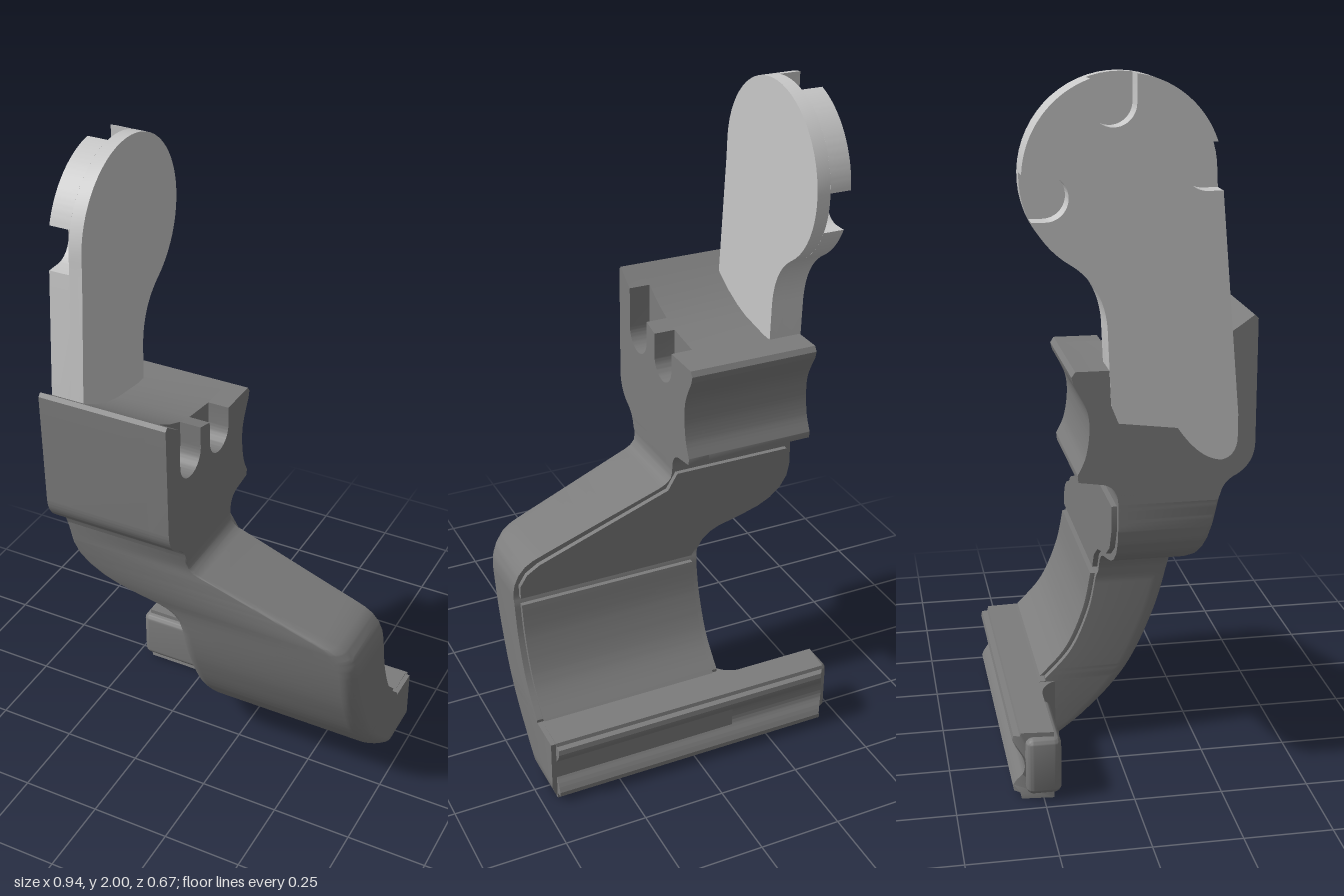
import * as THREE from 'three';
import { toCreasedNormals } from 'three/addons/utils/BufferGeometryUtils.js';
import { RoundedBoxGeometry } from 'three/addons/geometries/RoundedBoxGeometry.js';

const bodyMat = new THREE.MeshStandardMaterial({ color: 0x7c7c7c });
bodyMat.name = 'dark grey';
const bladeMat = new THREE.MeshStandardMaterial({ color: 0xc8c8c8 });
bladeMat.name = 'light grey';

const PI = Math.PI;
const V = (a) => a.map((p) => new THREE.Vector2(p[0], p[1]));
const lines = (s, pts) => pts.forEach((p) => s.lineTo(p[0], p[1]));

function add(group, name, geo, mat) {
  const m = new THREE.Mesh(toCreasedNormals(geo, 0.6), mat);
  m.name = name;
  group.add(m);
  return m;
}

// Extrude a (z, y) profile along x from x0 to x1
function extrudeX(shape, x0, x1) {
  const g = new THREE.ExtrudeGeometry(shape, { depth: x1 - x0, bevelEnabled: false, curveSegments: 20 });
  g.rotateY(-PI / 2);
  g.translate(x1, 0, 0);
  return g;
}

// Linear lookup in a table of [y, value]
function look(t, y) {
  if (y <= t[0][0]) return t[0][1];
  for (let i = 1; i < t.length; i++) {
    if (y <= t[i][0]) {
      const [a, b] = [t[i - 1], t[i]];
      return a[1] + (b[1] - a[1]) * (y - a[0]) / (b[0] - a[0]);
    }
  }
  return t[t.length - 1][1];
}
const smooth = (t) => new THREE.SplineCurve(V(t)).getPoints(t.length * 5).map((p) => [p.x, p.y]);

// Stack of horizontal sections, each a rectangle with rounded front corners
function loft(levels, section) {
  const pos = [], idx = [], N = 6, n = 2 + 2 * (N + 1);
  for (const y of levels) {
    const { xl, xr, zb, zf, r } = section(y);
    pos.push(xl, y, zb, xr, y, zb);
    for (let i = 0; i <= N; i++) {
      const a = i / N * PI / 2;
      pos.push(xr - r + r * Math.cos(a), y, zf - r + r * Math.sin(a));
    }
    for (let i = 0; i <= N; i++) {
      const a = PI / 2 + i / N * PI / 2;
      pos.push(xl + r + r * Math.cos(a), y, zf - r + r * Math.sin(a));
    }
  }
  const last = (levels.length - 1) * n;
  for (let l = 0; l < last; l += n) {
    for (let i = 0; i < n; i++) {
      const a = l + i, b = l + (i + 1) % n;
      idx.push(a, a + n, b, b, a + n, b + n);
    }
  }
  for (let i = 1; i < n - 1; i++) idx.push(0, i, i + 1, last, last + i + 1, last + i);
  const g = new THREE.BufferGeometry();
  g.setAttribute('position', new THREE.Float32BufferAttribute(pos, 3));
  g.setIndex(idx);
  return g;
}

// Side profile of the upper block, optionally with two U-shaped notches in its top
function blockShape(notched) {
  const s = new THREE.Shape();
  s.moveTo(0.235, 0.86);
  s.lineTo(0.245, 0.89);
  s.quadraticCurveTo(0.255, 0.915, 0.285, 0.93);
  s.quadraticCurveTo(0.335, 0.96, 0.335, 1.02);
  lines(s, [[0.335, 1.36], [0.325, 1.37], [0.29, 1.345], [0.26, 1.325]]);
  if (notched) {
    s.absarc(0.2, 1.2, 0.06, 0, -PI, true);
    lines(s, [[0.14, 1.265], [0.085, 1.25]]);
    s.absarc(0.0275, 1.18, 0.0575, 0, -PI, true);
  } else lines(s, [[0.2, 1.29], [0.14, 1.265], [0.085, 1.25]]);
  lines(s, [[-0.03, 1.235], [-0.155, 1.235], [-0.165, 1.22], [-0.16, 1.2]]);
  s.splineThru(V([[-0.125, 1.13], [-0.118, 1.07], [-0.128, 1.0], [-0.15, 0.95]]));
  lines(s, [[-0.148, 0.93], [-0.08, 0.92]]);
  s.quadraticCurveTo(-0.04, 0.91, -0.04, 0.86);
  return s;
}

// Side profile of the round-headed blade, optionally with three rim slots
function bladeShape(slotted) {
  const s = new THREE.Shape(), cz = -0.03, cy = 1.74, R = 0.26;
  s.moveTo(0.285, 1.1);
  s.lineTo(0.232, 1.7);
  if (slotted) {
    s.absarc(0.19, 1.7625, 0.0625, -PI / 2, -1.5 * PI, true);
    s.absarc(cz, cy, R, 0.333, 1.436, false);
    s.absarc(-0.055, 1.925, 0.06, 0, -PI, true);
    s.absarc(cz, cy, R, 1.904, 3.1, false);
    s.absarc(-0.23, 1.69, 0.06, PI / 2, -PI / 2, true);
    s.absarc(cz, cy, R, 3.578, 4.145, false);
  } else s.absarc(cz, cy, R, 0, 4.145, false);
  s.quadraticCurveTo(-0.08, 1.465, -0.07, 1.35);
  lines(s, [[-0.06, 1.14], [-0.04, 1.09], [0.04, 1.08], [0.12, 1.07]]);
  s.quadraticCurveTo(0.18, 0.98, 0.24, 0.975);
  s.quadraticCurveTo(0.28, 0.98, 0.285, 1.03);
  return s;
}

export function createModel() {
  const g = new THREE.Group();
  g.name = 'bracketLever';

  // Blade, in two layers so the slots go only part way through
  add(g, 'bladeSlottedLayer', extrudeX(bladeShape(true), -0.453, -0.39), bladeMat);
  add(g, 'bladeFullLayer', extrudeX(bladeShape(false), -0.39, -0.35), bladeMat);

  // Upper block
  add(g, 'upperBlock', extrudeX(blockShape(false), -0.45, -0.115), bodyMat);
  add(g, 'upperBlockNotched', extrudeX(blockShape(true), -0.115, -0.05), bodyMat);

  // Curved body: edges given against height
  const xl = [[0, -0.13], [0.52, -0.13], [0.56, -0.137], [0.59, -0.155], [0.61, -0.18], [0.623, -0.21], [0.64, -0.28],
    [0.66, -0.345], [0.68, -0.385], [0.71, -0.42], [0.745, -0.442], [0.785, -0.45], [0.9, -0.45]];
  const xr = [[0, 0.44], [0.012, 0.455], [0.04, 0.465], [0.56, 0.465], [0.59, 0.46], [0.62, 0.447], [0.645, 0.425],
    [0.66, 0.4], [0.675, 0.36], [0.805, -0.01], [0.815, -0.03], [0.83, -0.045], [0.85, -0.05], [0.9, -0.05]];
  const zf = smooth([[0, -0.205], [0.015, -0.175], [0.1, -0.055], [0.22, 0.05], [0.36, 0.12], [0.5, 0.165],
    [0.7, 0.205], [0.9, 0.245]]);
  const curve = smooth([[0.212, -0.2], [0.3, -0.122], [0.42, -0.07], [0.53, -0.047]]);
  const zb = [[0, -0.31], [0.2, -0.31], [0.203, -0.2], ...curve, [0.55, -0.04], [0.9, -0.04]];
  const rad = [[0, 0.02], [0.1, 0.05], [0.62, 0.05], [0.8, 0.01], [0.9, 0.001]];
  const steps = Array.from({ length: 46 }, (_, i) => i * 0.02);
  const levels = [...new Set([...steps, ...[...xl, ...xr, ...zb].map((p) => p[0])].map((y) => +y.toFixed(3)))]
    .filter((y) => y <= 0.9).sort((a, b) => a - b);
  add(g, 'curvedBody', loft(levels, (y) => ({
    xl: look(xl, y), xr: look(xr, y), zb: look(zb, y), zf: look(zf, y), r: look(rad, y),
  })), bodyMat);

  // Raised pads on the back of the body
  add(g, 'concavePad', loft(levels.filter((y) => y > 0.21 && y < 0.54), (y) => ({
    xl: -0.11, xr: 0.447, zb: look(zb, y) - 0.014, zf: look(zb, y) + 0.005, r: 0.001,
  })), bodyMat);
  const pad = new THREE.Shape(V([[0.447, 0.55], [0.447, 0.59], [0.425, 0.625], [0.385, 0.65], [-0.03, 0.8], [-0.06, 0.85],
    [-0.43, 0.85], [-0.43, 0.78], [-0.4, 0.72], [-0.34, 0.68], [-0.2, 0.64], [-0.14, 0.6], [-0.11, 0.55]]));
  const padGeo = new THREE.ExtrudeGeometry(pad, { depth: 0.025, bevelEnabled: false });
  padGeo.translate(0, 0, -0.055);
  add(g, 'upperPad', padGeo, bodyMat);

  // Bottom bar with a grooved back
  const bar = new THREE.Shape(V([[-0.22, 0], [-0.22, 0.203], [-0.312, 0.203], [-0.315, 0.192]]));
  lines(bar, [[-0.332, 0.19], [-0.335, 0.175]]);
  bar.splineThru(V([[-0.325, 0.155], [-0.308, 0.13], [-0.303, 0.105], [-0.308, 0.08], [-0.325, 0.055], [-0.335, 0.035]]));
  lines(bar, [[-0.332, 0.02], [-0.315, 0.018], [-0.312, 0]]);
  const barGeo = extrudeX(bar, -0.45, 0.45);
  // round off the left rear corner
  const p = barGeo.attributes.position;
  for (let i = 0; i < p.count; i++) {
    if (p.getX(i) < -0.4 && p.getZ(i) < -0.3) p.setX(i, p.getX(i) - (p.getZ(i) + 0.3) * 0.7);
  }
  barGeo.computeVertexNormals();
  add(g, 'bottomBar', barGeo, bodyMat);
  const tip = add(g, 'barTipPad', new RoundedBoxGeometry(0.255, 0.17, 0.1, 4, 0.022), bodyMat);
  tip.position.set(-0.3425, 0.105, -0.25);

  // Fillet between bar and body
  const fil = new THREE.Shape();
  fil.moveTo(-0.21, 0.22);
  fil.quadraticCurveTo(-0.145, 0.215, -0.125, 0.16);
  lines(fil, [[-0.1, 0.3], [-0.21, 0.3]]);
  const filGeo = new THREE.ExtrudeGeometry(fil, { depth: 0.198, bevelEnabled: false });
  filGeo.rotateX(-PI / 2);
  filGeo.translate(0, 0.003, 0);
  add(g, 'barFillet', filGeo, bodyMat);
  return g;
}
